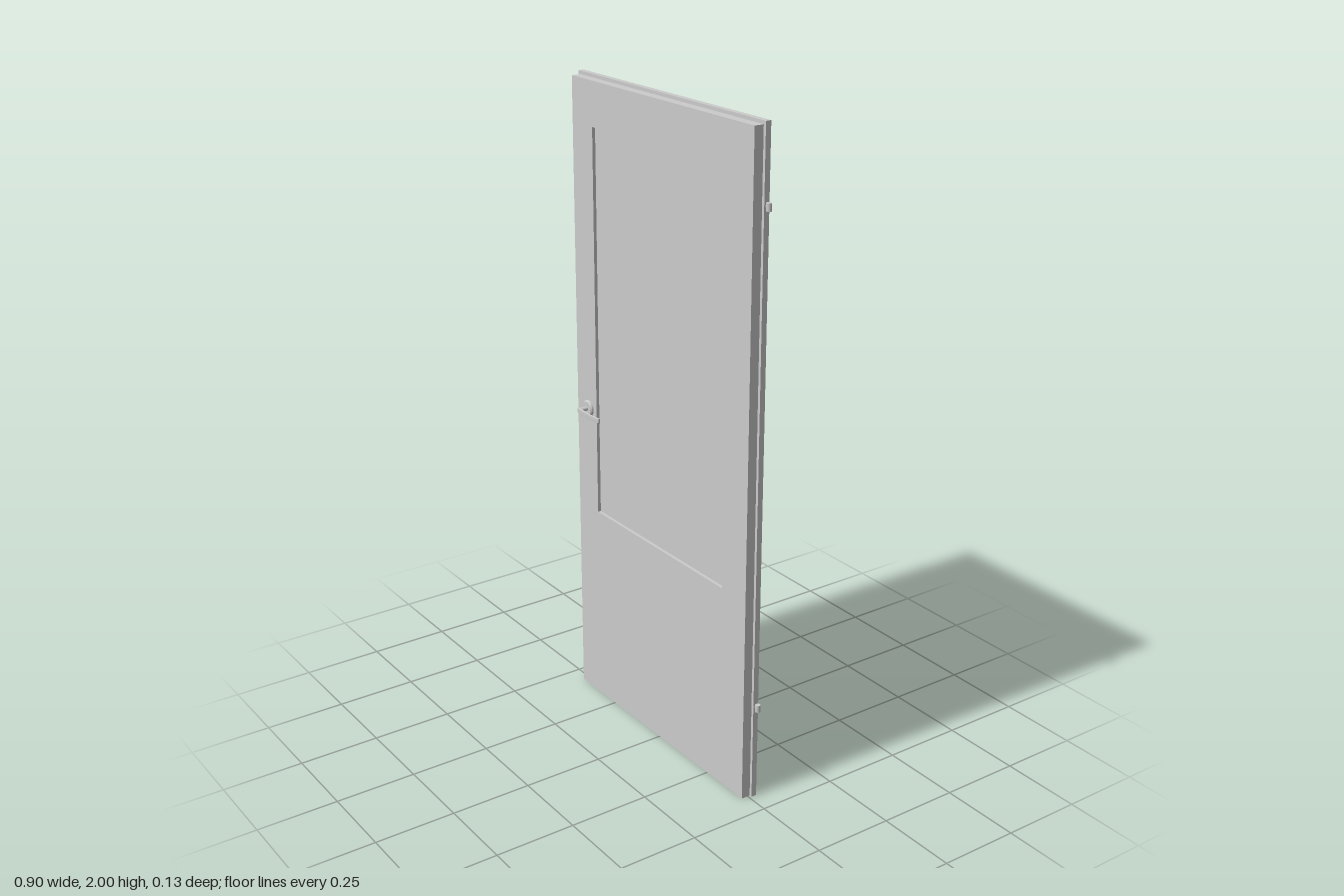
import * as THREE from 'three';

const material = new THREE.MeshStandardMaterial({ color: 0xcccccc });

function add(parent, name, geometry, x = 0, y = 0, z = 0) {
  const mesh = new THREE.Mesh(geometry, material);
  mesh.name = name;
  mesh.position.set(x, y, z);
  parent.add(mesh);
  return mesh;
}

function rectangle(target, x0, x1, y0, y1) {
  target.moveTo(x0, y0).lineTo(x1, y0).lineTo(x1, y1).lineTo(x0, y1).closePath();
  return target;
}

// Slab with the window opening cut through it
function slab(x0, x1, y0, y1, depth) {
  const shape = rectangle(new THREE.Shape(), x0, x1, y0, y1);
  shape.holes.push(rectangle(new THREE.Path(), -0.335, 0.312, 0.645, 1.857));
  return new THREE.ExtrudeGeometry(shape, { depth, bevelEnabled: false });
}

// Handle built at the origin, pointing out along +z with the lever along +x
function createHandle(name) {
  const handle = new THREE.Group();
  handle.name = name;

  // Round rose: straight rim, then a chamfer to a flat face
  const profile = [[0, 0], [0.0255, 0], [0.0255, 0.005], [0.0225, 0.009], [0, 0.009]]
    .map(([r, h]) => new THREE.Vector2(r, h));
  const roseGeometry = new THREE.LatheGeometry(profile, 32).toNonIndexed();
  roseGeometry.computeVertexNormals();
  roseGeometry.rotateX(Math.PI / 2);
  add(handle, 'rose', roseGeometry);

  const neck = new THREE.CylinderGeometry(0.0068, 0.0068, 0.032, 20);
  neck.rotateX(Math.PI / 2);
  add(handle, 'neck', neck, 0, 0, 0.022);

  // Gently bowed lever, thinner towards its tip
  const outline = new THREE.Shape();
  outline.moveTo(-0.0068, 0.032);
  outline.lineTo(0.0068, 0.032);
  outline.quadraticCurveTo(0.06, 0.0405, 0.112, 0.033);
  outline.lineTo(0.112, 0.038);
  outline.quadraticCurveTo(0.06, 0.046, -0.0068, 0.0385);
  outline.closePath();
  const lever = new THREE.ExtrudeGeometry(outline, {
    depth: 0.011, bevelEnabled: true, bevelThickness: 0.002,
    bevelSize: 0.001, bevelOffset: -0.001, bevelSegments: 2, curveSegments: 16,
  });
  lever.rotateX(Math.PI / 2);
  add(handle, 'lever', lever, 0, 0.0055, 0);
  return handle;
}

export function createModel() {
  const door = new THREE.Group();
  door.name = 'door';

  // Rebated leaf: smaller front slab on a wider back slab
  add(door, 'frontLeaf', slab(-0.439, 0.421, 0, 1.99, 0.029), 0, 0, -0.008);
  add(door, 'rebateLeaf', slab(-0.448, 0.43, 0, 2, 0.017), 0, 0, -0.025);

  // Recessed pane
  add(door, 'pane', new THREE.BoxGeometry(0.647, 1.212, 0.026), -0.0115, 1.251, -0.002);

  // Handles on both faces
  const frontHandle = createHandle('frontHandle');
  frontHandle.position.set(-0.377, 0.98, 0.021);
  const backHandle = createHandle('backHandle');
  backHandle.position.set(-0.377, 0.98, -0.025);
  backHandle.rotation.x = Math.PI;
  door.add(frontHandle, backHandle);

  // Hinge knuckles and their pins into the leaf
  for (const [name, y] of [['lowerHinge', 0.302], ['upperHinge', 1.779]]) {
    const hinge = new THREE.Group();
    hinge.name = name;
    hinge.position.set(0.44, y, -0.016);
    add(hinge, 'knuckle', new THREE.CylinderGeometry(0.0078, 0.0078, 0.022, 16));
    const pin = new THREE.CylinderGeometry(0.004, 0.004, 0.014, 12);
    pin.rotateZ(Math.PI / 2);
    add(hinge, 'pin', pin, -0.009, 0, 0);
    door.add(hinge);
  }
  return door;
}
